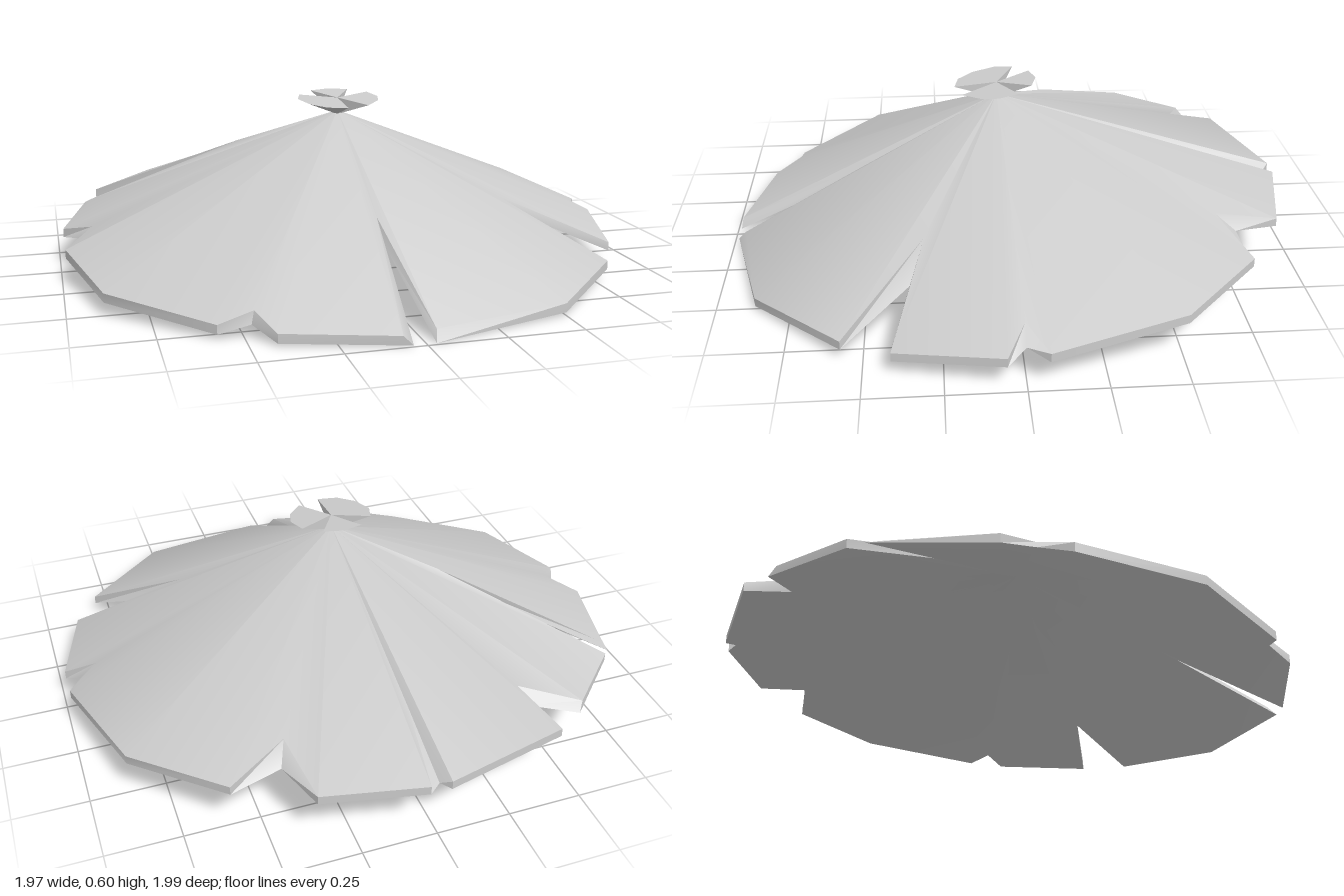
import * as THREE from 'three';
import { toCreasedNormals } from 'three/addons/utils/BufferGeometryUtils.js';

const material = new THREE.MeshStandardMaterial({ color: 0xcccccc, side: THREE.DoubleSide });

// Closed shell between an upper and a lower fan; both run anticlockwise seen from above.
function fanShell(name, upperHub, upper, lowerHub, lower, closed, crease) {
  const corners = [];
  const tri = (...points) => points.forEach((p) => corners.push(...p));
  const n = upper.length;
  for (let i = 0; i < (closed ? n : n - 1); i++) {
    const j = (i + 1) % n;
    tri(upperHub, upper[i], upper[j]);
    if (lower) {
      tri(lowerHub, lower[j], lower[i]);
      tri(lower[i], lower[j], upper[j]);
      tri(lower[i], upper[j], upper[i]);
    } else {
      tri(lowerHub, upper[j], upper[i]);
    }
  }
  // End walls of an open wedge
  if (!closed) {
    tri(upperHub, lowerHub, upper[0]);
    tri(upperHub, upper[n - 1], lowerHub);
  }
  const geometry = new THREE.BufferGeometry();
  geometry.setAttribute('position', new THREE.Float32BufferAttribute(corners, 3));
  const mesh = new THREE.Mesh(toCreasedNormals(geometry, crease), material);
  mesh.name = name;
  return mesh;
}

// Rim corner on the tilted rim plane; the lower edge may be offset.
const rim = (x, z, lx = x, lz = z) => ({
  top: [x, 0.12 - 0.088 * z, z],
  low: [lx, 0.09 - 0.088 * lz, lz],
});
// Inner point of a tear, with its own upper and lower heights.
const tear = (x, y, z, lx, ly, lz) => ({ top: [x, y, z], low: [lx, ly, lz] });

export function createModel() {
  const model = new THREE.Group();
  model.name = 'tornCanopy';

  // Ragged outline, from the front tear round by the left side
  const outline = [
    tear(-0.01, 0.265, 0.52, -0.01, 0.19, 0.62),
    rim(0.04, 0.96, 0.03, 0.99), rim(0.5, 0.87), rim(0.8, 0.57),
    tear(0.5, 0.255, 0.3, 0.64, 0.16, 0.35),
    rim(0.89, 0.41), rim(0.985, 0.06),
    tear(0.88, 0.17, 0, 0.94, 0.12, 0),
    rim(0.985, -0.07), rim(0.87, -0.51), rim(0.6, -0.78),
    tear(0.4, 0.25, -0.69, 0.43, 0.195, -0.76),
    rim(0.365, -0.92), rim(0.03, -1),
    tear(-0.01, 0.285, -0.7, -0.01, 0.185, -0.97),
    rim(-0.04, -1), rim(-0.48, -0.885),
    tear(-0.41, 0.25, -0.695, -0.42, 0.2, -0.74),
    rim(-0.62, -0.77, -0.6, -0.795), rim(-0.845, -0.545),
    tear(-0.34, 0.41, -0.17, -0.36, 0.37, -0.18),
    rim(-0.86, -0.44, -0.89, -0.49), rim(-0.985, -0.11),
    tear(-0.89, 0.16, 0, -0.93, 0.12, 0),
    rim(-0.985, 0.1), rim(-0.885, 0.5), rim(-0.58, 0.8),
    tear(-0.47, 0.085, 0.8, -0.48, 0.045, 0.81),
    rim(-0.42, 0.895), rim(-0.07, 0.985, -0.04, 0.99),
  ];
  model.add(fanShell('canopy',
    [-0.01, 0.54, 0.03], outline.map((p) => p.top),
    [-0.01, 0.505, 0.03], outline.map((p) => p.low), true, 0.6));

  // Flared tuft of three wedges at the peak
  const wedges = {
    tuftLeft: [[0.07, 0.155], [0.125, 0.09], [0.14, 0.03], [0.12, -0.04]],
    tuftBack: [[0.06, -0.09], [-0.01, -0.11], [-0.08, -0.09]],
    tuftRight: [[-0.135, -0.035], [-0.155, 0.03], [-0.13, 0.11], [-0.08, 0.165], [-0.01, 0.18]],
  };
  const flare = ([x, z]) => [x, 0.588 - 0.1 * z, z];
  for (const [name, points] of Object.entries(wedges)) {
    model.add(fanShell(name, flare([-0.01, 0.03]), points.map(flare),
      [-0.01, 0.525, 0.03], null, false, 0.5));
  }
  return model;
}
